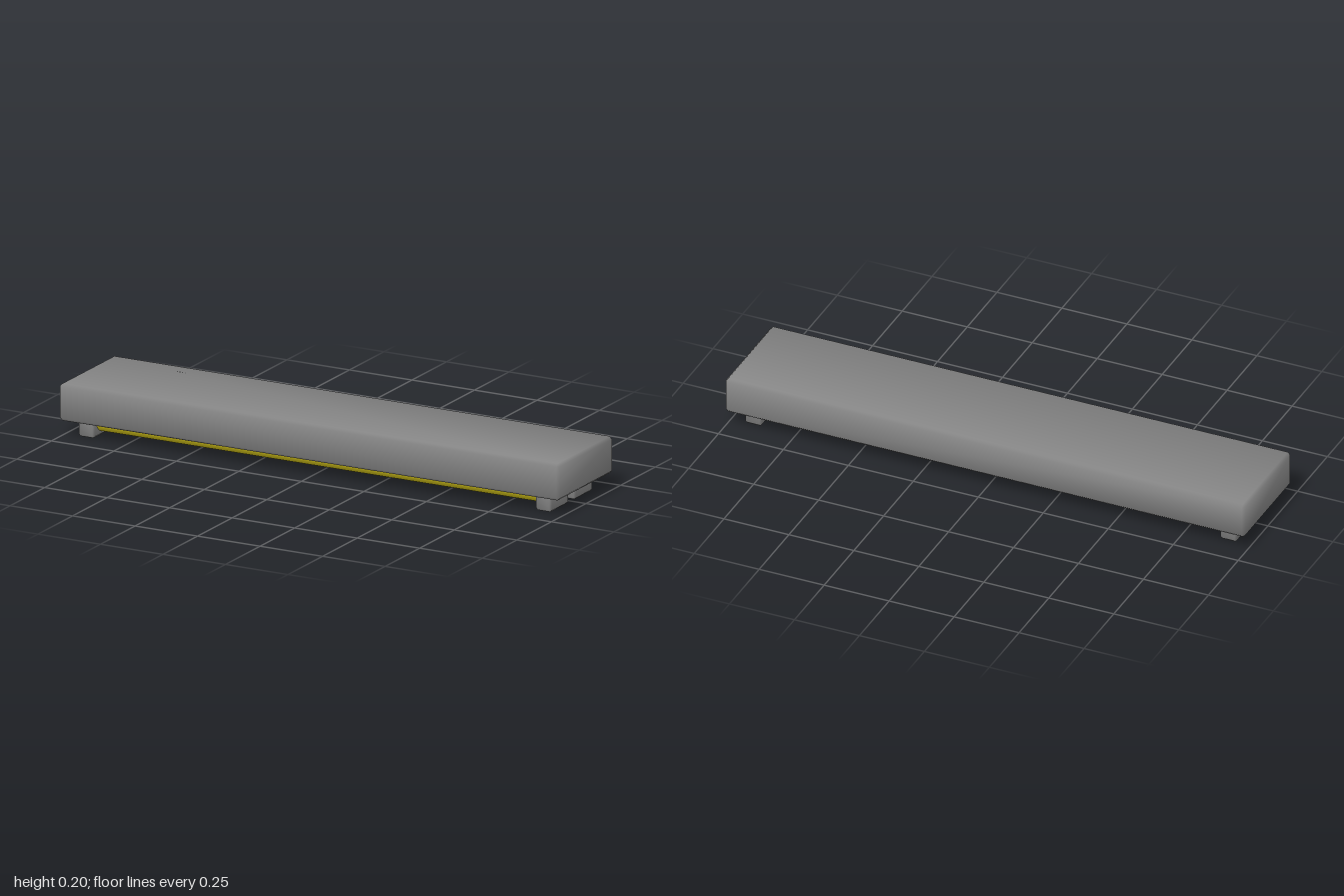
import * as THREE from 'three';
import { ConvexGeometry } from 'three/addons/geometries/ConvexGeometry.js';
import { toCreasedNormals } from 'three/addons/utils/BufferGeometryUtils.js';

const grey = new THREE.MeshStandardMaterial({ color: 0x868686 });
const yellow = new THREE.MeshStandardMaterial({ color: 0xd6c51a });

// Box with every edge cut at 45 degrees and shaded smoothly across the cuts
function chamferBox(w, h, d, c) {
  const points = [];
  for (const x of [-1, 1]) for (const y of [-1, 1]) for (const z of [-1, 1]) {
    for (const [a, b, e] of [[0, c, c], [c, 0, c], [c, c, 0]]) {
      points.push(new THREE.Vector3(x * (w / 2 - a), y * (h / 2 - b), z * (d / 2 - e)));
    }
  }
  return toCreasedNormals(new ConvexGeometry(points), 1.2);
}

export function createModel() {
  const model = new THREE.Group();
  model.name = 'tubeLightFixture';

  const add = (name, geometry, material, x, y, z) => {
    const mesh = new THREE.Mesh(geometry, material);
    mesh.name = name;
    mesh.position.set(x, y, z);
    model.add(mesh);
  };

  // Housing
  add('housing', chamferBox(2, 0.135, 0.396, 0.01), grey, 0, 0.1275, 0);

  // Two tubes, each held by a socket at both ends
  const socket = chamferBox(0.064, 0.12, 0.129, 0.007);
  const tube = new THREE.CylinderGeometry(0.048, 0.048, 1.79, 32).rotateZ(Math.PI / 2);
  for (const [side, z] of [['front', 0.091], ['back', -0.083]]) {
    add(side + 'Tube', tube, yellow, 0, 0.062, z);
    add(side + 'LeftSocket', socket, grey, 0.914, 0.06, z);
    add(side + 'RightSocket', socket, grey, -0.914, 0.06, z);
  }

  return model;
}
